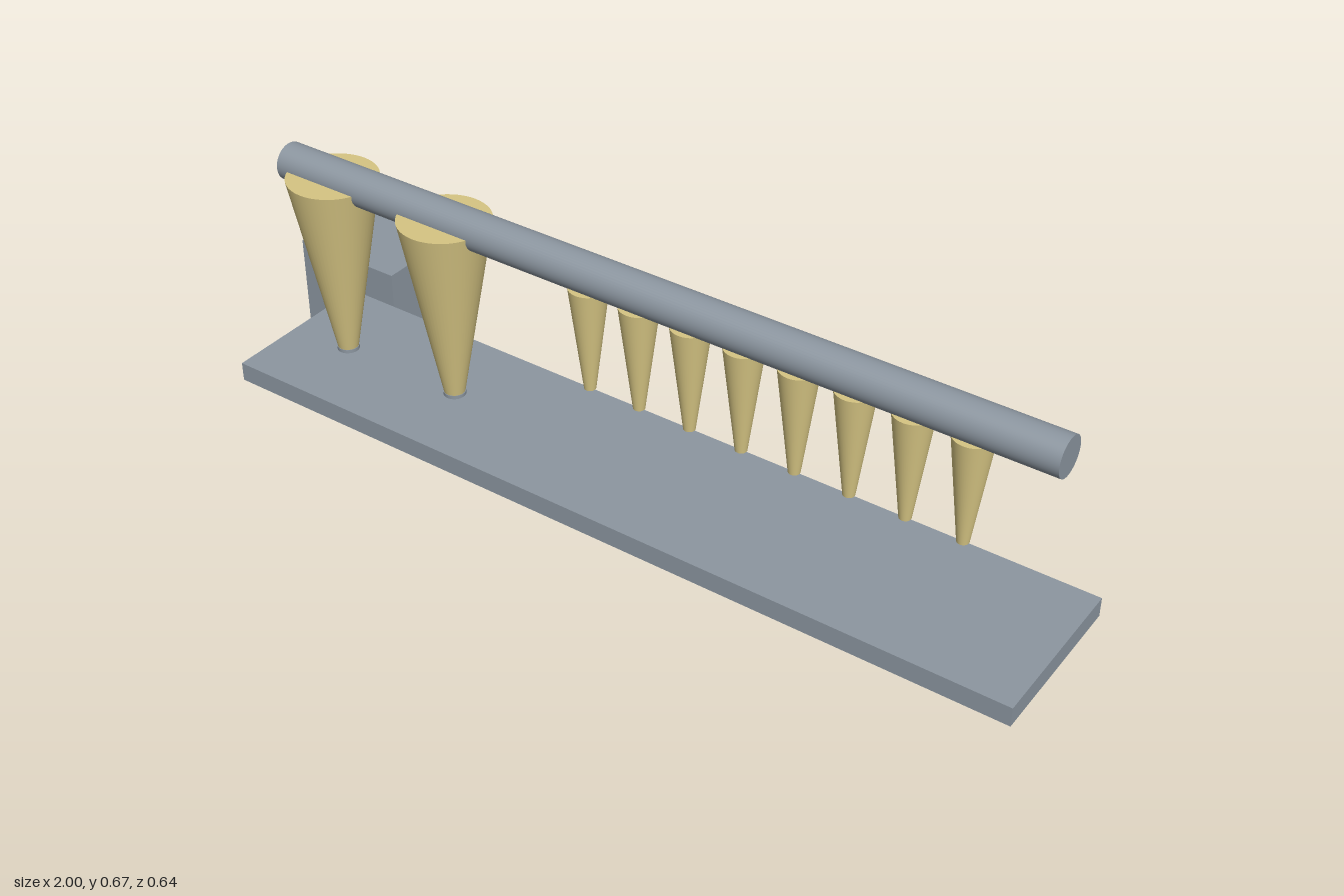
import * as THREE from 'three';

const steel = new THREE.MeshStandardMaterial({ name: 'steel grey', color: 0x8c96a0 });
const brass = new THREE.MeshStandardMaterial({ name: 'pale brass', color: 0xd6c583 });
const AXIS_Z = 0.142; // shared depth of the bar, cones and pins

export function createModel() {
  const model = new THREE.Group();

  const add = (name, geometry, material, x, y, z) => {
    const mesh = new THREE.Mesh(geometry, material);
    mesh.name = name;
    mesh.position.set(x, y, z);
    model.add(mesh);
    return mesh;
  };
  // Upright round part between two heights
  const addCone = (name, material, x, y0, y1, rBottom, rTop) =>
    add(name, new THREE.CylinderGeometry(rTop, rBottom, y1 - y0, 48), material, x, (y0 + y1) / 2, AXIS_Z);

  // Base plate and the separate block behind it
  add('basePlate', new THREE.BoxGeometry(1.838, 0.043, 0.357), steel, 0.081, 0.1795, 0.1415);
  add('block', new THREE.BoxGeometry(0.267, 0.268, 0.267), steel, -0.8665, 0.134, -0.1865);

  // Horizontal bar
  const bar = add('bar', new THREE.CylinderGeometry(0.041, 0.041, 1.778, 48), steel, 0.081, 0.624, AXIS_Z);
  bar.rotation.z = Math.PI / 2;

  // Two large cones standing on pins that pass through the plate
  for (const x of [-0.692, -0.395]) {
    addCone('largeCone', brass, x, 0.208, 0.624, 0.0225, 0.0975);
    addCone('pin', steel, x, 0.12, 0.209, 0.024, 0.024);
  }

  // Row of eight small cones hanging under the bar
  for (let i = 0; i < 8; i++) {
    addCone('smallCone', brass, -0.039 + i * 0.1187, 0.358, 0.594, 0.0122, 0.041);
  }
  return model;
}
